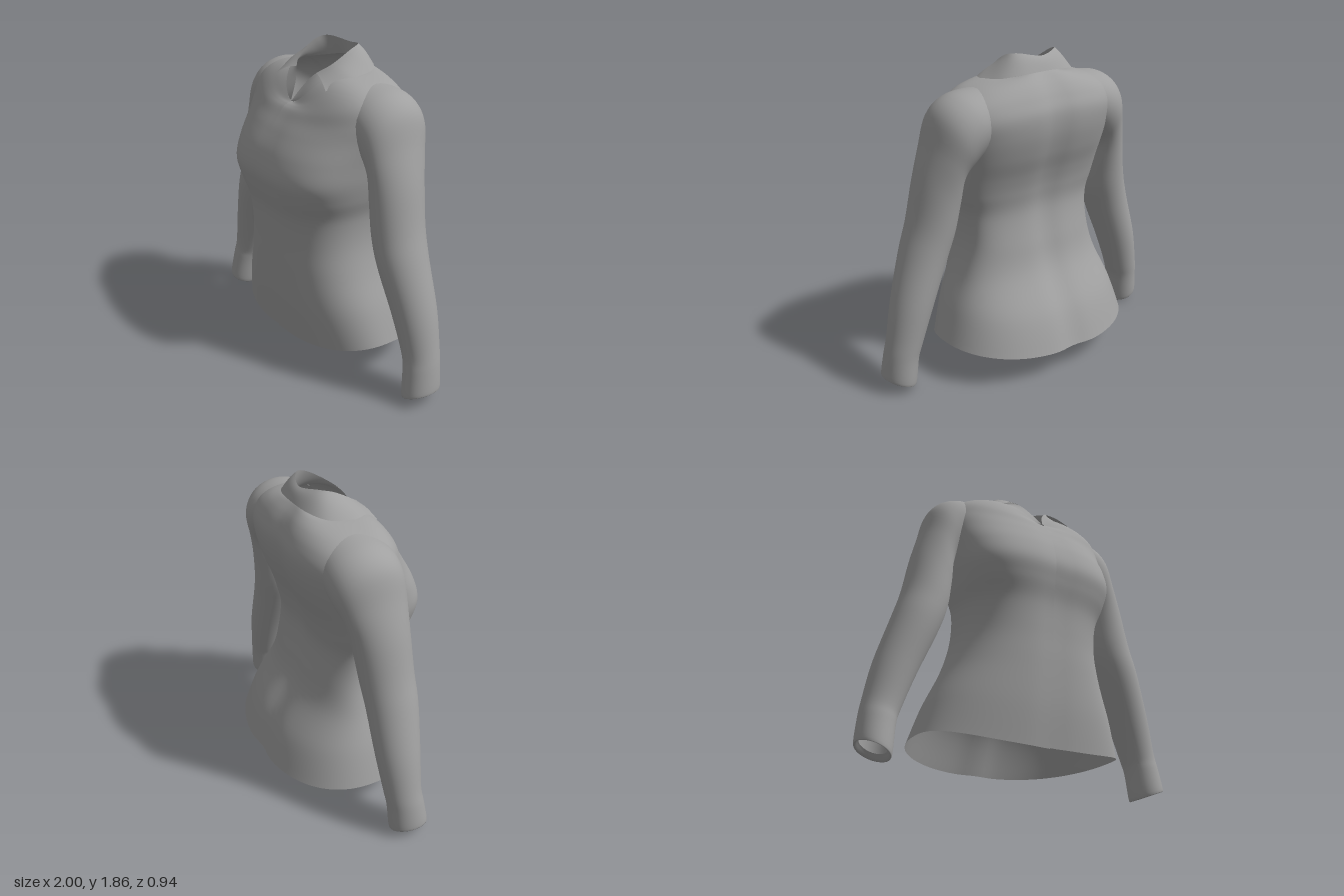
import * as THREE from 'three';
import { mergeVertices } from 'three/addons/utils/BufferGeometryUtils.js';

const fabric = new THREE.MeshStandardMaterial({ color: 0xa0a0a0, side: THREE.DoubleSide });
fabric.name = 'grey fabric';

// Catmull-Rom blend of whole rows of numbers, t from 0 to 1
function blend(rows, t) {
  const f = t * (rows.length - 1);
  const i = Math.min(Math.floor(f), rows.length - 2);
  const s = f - i;
  const at = (k) => rows[Math.min(Math.max(k, 0), rows.length - 1)];
  return rows[0].map((_, c) => {
    const [a, b, d, e] = [at(i - 1)[c], at(i)[c], at(i + 1)[c], at(i + 2)[c]];
    return b + 0.5 * s * (d - a + s * (2 * a - 5 * b + 4 * d - e + s * (3 * (b - d) + e - a)));
  });
}

// Smooth sheet through point(u, v); outside is on the side of u x v
function sheet(name, nu, nv, point) {
  const positions = [];
  const index = [];
  for (let i = 0; i <= nv; i++) {
    for (let j = 0; j <= nu; j++) {
      positions.push(...point(j / nu, i / nv));
      if (i < nv && j < nu) {
        const a = i * (nu + 1) + j;
        const c = a + nu + 1;
        index.push(a, a + 1, c, a + 1, c + 1, c);
      }
    }
  }
  let geometry = new THREE.BufferGeometry();
  geometry.setAttribute('position', new THREE.Float32BufferAttribute(positions, 3));
  geometry.setIndex(index);
  geometry = mergeVertices(geometry, 1e-5);
  geometry.computeVertexNormals();
  const mesh = new THREE.Mesh(geometry, fabric);
  mesh.name = name;
  return mesh;
}

const power = (v, p) => Math.sign(v) * Math.abs(v) ** p;

// Body rings from hem to neck:
// half width, front z, back z, y at front / side / back, front and back roundness, y falloff
const bodyRings = [
  [0.632, 0.345, -0.467, 0.13, 0.2, 0.16, 0.8, 0.87, 2],
  [0.565, 0.38, -0.39, 0.36, 0.4, 0.37, 0.8, 0.87, 2],
  [0.48, 0.4, -0.258, 0.6, 0.6, 0.6, 0.8, 0.87, 2],
  [0.432, 0.408, -0.21, 0.78, 0.78, 0.78, 0.77, 0.85, 2],
  [0.43, 0.422, -0.18, 0.95, 0.95, 0.96, 0.72, 0.85, 2],
  [0.465, 0.455, -0.195, 1.08, 1.08, 1.09, 0.65, 0.8, 2],
  [0.49, 0.472, -0.225, 1.19, 1.19, 1.2, 0.63, 0.78, 2],
  [0.51, 0.438, -0.27, 1.31, 1.31, 1.32, 0.7, 0.75, 2],
  [0.535, 0.38, -0.305, 1.42, 1.43, 1.45, 0.82, 0.75, 2],
  [0.55, 0.335, -0.312, 1.49, 1.53, 1.56, 0.9, 0.75, 2.5],
  [0.52, 0.305, -0.285, 1.535, 1.62, 1.64, 0.9, 0.77, 3],
  [0.42, 0.285, -0.25, 1.555, 1.69, 1.7, 0.88, 0.8, 3],
  [0.3, 0.27, -0.21, 1.565, 1.73, 1.745, 0.9, 0.85, 3],
  [0.215, 0.262, -0.18, 1.57, 1.742, 1.77, 1.1, 0.9, 3.5],
];

function bodyPoint(angle, v) {
  const [w, zf, zb, yf, ys, yb, pf, pb, k] = blend(bodyRings, v);
  const c = Math.cos(angle);
  const front = c > 0;
  const p = front ? pf : pb;
  const x = w * power(Math.sin(angle), p);
  const y = ys + ((front ? yf : yb) - ys) * Math.abs(c) ** k;
  // Shallow hollow down the breastbone and spine
  const hollow = (front ? -0.01 : 0.02) * Math.exp(-((x / 0.09) ** 2)) * Math.abs(c);
  // The skirt hangs slightly to one side
  return [x - 0.02 * (1 - v), y + 0.03 * x * (1 - v) ** 4, (front ? zf : -zb) * power(c, p) + hollow];
}

// Body, open down the front with one edge lapping over the other
function makeBody() {
  const lap = 0.02;
  return sheet('jacketBody', 128, 84, (u, v) => {
    const angle = -lap + u * (2 * Math.PI + lap);
    const [x, y, z] = bodyPoint(angle, v);
    return [x, y, z + 0.012 * Math.exp(-6 * (angle + lap)) * (1 - v ** 8)];
  });
}

// Sleeve rings from shoulder to cuff: inner x, y, outer x, y, front z, back z
const sleeveRings = [
  [0.28, 1.44, 0.36, 1.708, 0.15, -0.22],
  [0.36, 1.36, 0.52, 1.685, 0.18, -0.245],
  [0.44, 1.29, 0.625, 1.6, 0.182, -0.235],
  [0.49, 1.22, 0.68, 1.42, 0.175, -0.195],
  [0.5, 1.08, 0.735, 1.23, 0.175, -0.16],
  [0.525, 0.92, 0.785, 1.0, 0.18, -0.135],
  [0.58, 0.76, 0.84, 0.82, 0.18, -0.12],
  [0.685, 0.5, 0.92, 0.55, 0.15, -0.11],
  [0.765, 0.28, 0.965, 0.33, 0.13, -0.09],
  [0.79, 0.19, 0.985, 0.22, 0.14, -0.08],
  [0.81, 0.02, 0.998, 0.09, 0.16, -0.07],
  [0.835, 0.055, 0.975, 0.115, 0.135, -0.045],
];

function makeSleeve(name, side) {
  return sheet(name, 40, 66, (u, v) => {
    const [xi, yi, xo, yo, zf, zb] = blend(sleeveRings, v);
    const angle = side * u * 2 * Math.PI;
    const s = -Math.sin(angle) / 2;
    return [
      side * ((xi + xo) / 2 + s * (xo - xi)),
      (yi + yo) / 2 + s * (yo - yi) + side * 0.012 * v ** 4,
      (zf + zb) / 2 + (Math.cos(angle) * (zf - zb)) / 2 - side * 0.015 * v ** 2,
    ];
  });
}

// Collar fold from the foot of the V neck round to the middle of the back,
// and the collar's outer edge from its tip to the middle of the back
const fold = [
  [0, 1.572, 0.262], [0.045, 1.675, 0.195], [0.095, 1.735, 0.155], [0.15, 1.785, 0.09],
  [0.165, 1.85, -0.02], [0.135, 1.87, -0.1], [0, 1.85, -0.15],
];
const fall = [[0.24, 1.672, 0.2], [0.285, 1.728, 0.06], [0.26, 1.745, -0.1], [0.16, 1.765, -0.18], [0, 1.775, -0.203]];

const mirrored = (half) => [...half, ...half.slice(0, -1).reverse().map(([x, y, z]) => [-x, y, z])];
const between = (a, b, t) => a.map((n, i) => n + (b[i] - n) * t);

// Inner band rising from the neckline to the fold
function makeStand() {
  const top = mirrored(fold);
  return sheet('collarStand', 96, 6, (u, v) => between(bodyPoint(u * 2 * Math.PI, 1), blend(top, u), v));
}

// Outer leaf falling from the fold onto the shoulders
function makeCollar() {
  const top = mirrored(fold.slice(2));
  const bottom = mirrored(fall);
  return sheet('collar', 64, 8, (u, v) => {
    const [x, y, z] = between(blend(bottom, u), blend(top, u), v);
    return [x, y + 0.012 * Math.sin(Math.PI * v), z];
  });
}

export function createModel() {
  const jacket = new THREE.Group();
  jacket.name = 'jacket';
  jacket.add(makeBody(), makeSleeve('leftSleeve', 1), makeSleeve('rightSleeve', -1), makeStand(), makeCollar());
  return jacket;
}
